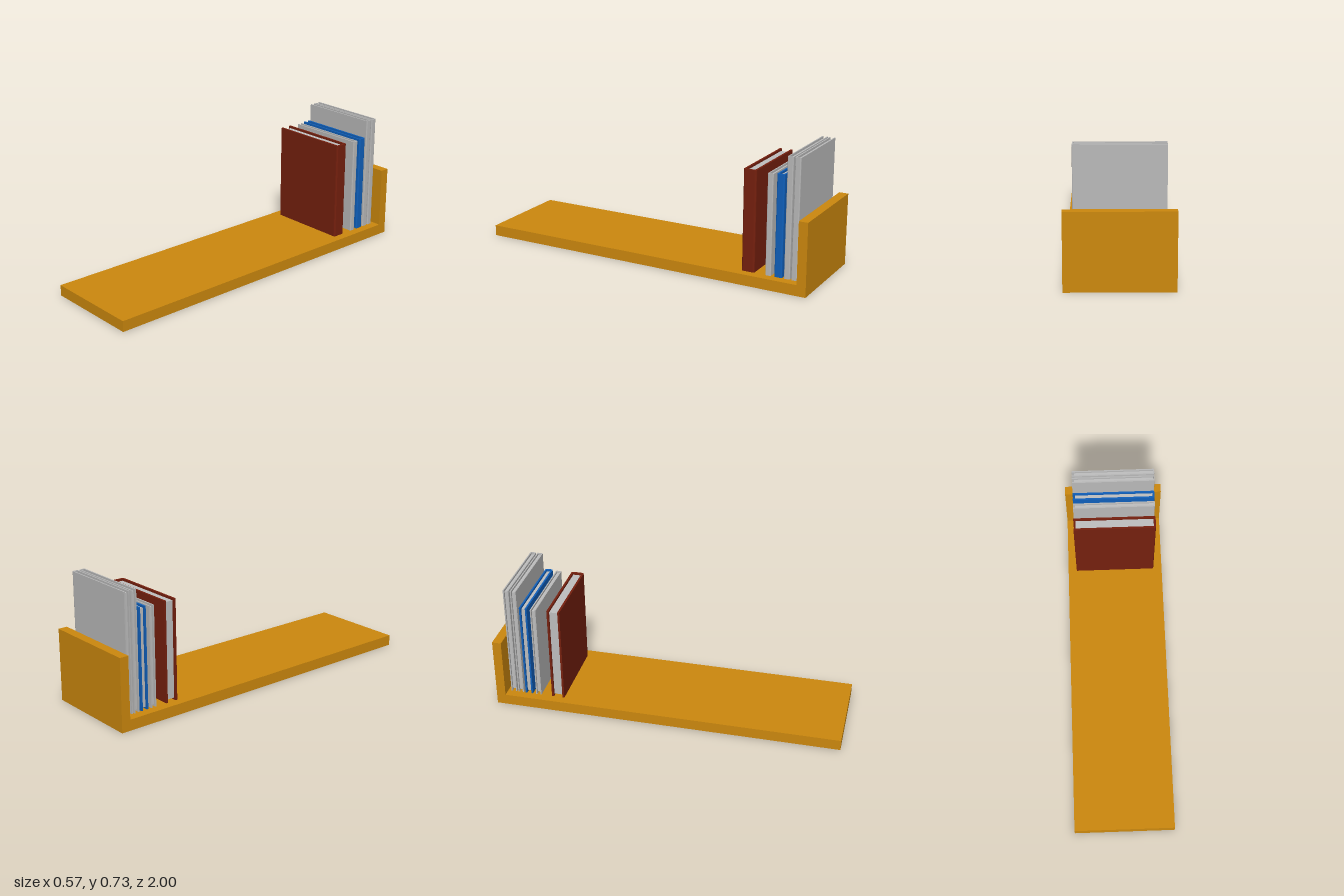
import * as THREE from 'three';

const mat = (name, color) => {
  const m = new THREE.MeshStandardMaterial({ color });
  m.name = name;
  return m;
};

const BASE_TOP = 0.062;

// U-shaped cover seen from above: open at -x, rounded spine at +x
function coverGeometry(width, thick, board, height) {
  const x0 = -width / 2, x1 = width / 2, h = thick / 2, r = board * 0.9;
  const s = new THREE.Shape();
  s.moveTo(x0, -h);
  s.lineTo(x1 - r, -h);
  s.quadraticCurveTo(x1, -h, x1, -h + r);
  s.lineTo(x1, h - r);
  s.quadraticCurveTo(x1, h, x1 - r, h);
  s.lineTo(x0, h);
  s.lineTo(x0, h - board);
  s.lineTo(x1 - board, h - board);
  s.lineTo(x1 - board, -h + board);
  s.lineTo(x0, -h + board);
  s.closePath();
  const geo = new THREE.ExtrudeGeometry(s, { depth: height, bevelEnabled: false, curveSegments: 5 });
  return geo.rotateX(-Math.PI / 2);
}

function makeBook({ name, z0, z1, top, board, cover }, paper) {
  const book = new THREE.Group();
  book.name = name;
  const thick = z0 - z1, height = top - BASE_TOP, width = 0.47, inset = 0.012;

  const shell = new THREE.Mesh(coverGeometry(width, thick, board, height), cover);
  shell.name = 'cover';

  // Page block, set back from the top, bottom and open edge
  const left = -width / 2 + inset, right = width / 2 - board;
  const pages = new THREE.Mesh(
    new THREE.BoxGeometry(right - left, height - 2 * inset, thick - 2 * board), paper);
  pages.name = 'pages';
  pages.position.set((left + right) / 2, height / 2, 0);

  book.add(shell, pages);
  book.position.set(0, BASE_TOP, (z0 + z1) / 2);
  return book;
}

export function createModel() {
  const wood = mat('wood', 0xcd890e);
  const red = mat('red cover', 0x76200e);
  const blue = mat('blue cover', 0x0f60bc);
  const grey = mat('grey cover', 0xbababa);
  const paper = mat('paper', 0xc0c0c0);

  const model = new THREE.Group();
  model.name = 'bookShelf';

  // Shelf board and upright end
  const board = new THREE.Mesh(new THREE.BoxGeometry(0.57, BASE_TOP, 2), wood);
  board.name = 'shelfBoard';
  board.position.y = BASE_TOP / 2;
  const end = new THREE.Mesh(new THREE.BoxGeometry(0.57, 0.413 - BASE_TOP, 0.052), wood);
  end.name = 'endBoard';
  end.position.set(0, (0.413 + BASE_TOP) / 2, -0.974);
  model.add(board, end);

  // Row of books, front to back
  const books = [
    { name: 'thickRedBook', z0: -0.606, z1: -0.681, top: 0.632, board: 0.012, cover: red },
    { name: 'smallGreyBook', z0: -0.745, z1: -0.778, top: 0.627, board: 0.007, cover: grey },
    { name: 'blueBook', z0: -0.797, z1: -0.842, top: 0.632, board: 0.01, cover: blue },
    { name: 'tallGreyBookFront', z0: -0.853, z1: -0.887, top: 0.733, board: 0.007, cover: grey },
    { name: 'tallGreyBookBack', z0: -0.895, z1: -0.929, top: 0.733, board: 0.007, cover: grey },
  ];
  for (const b of books) model.add(makeBook(b, paper));
  return model;
}
